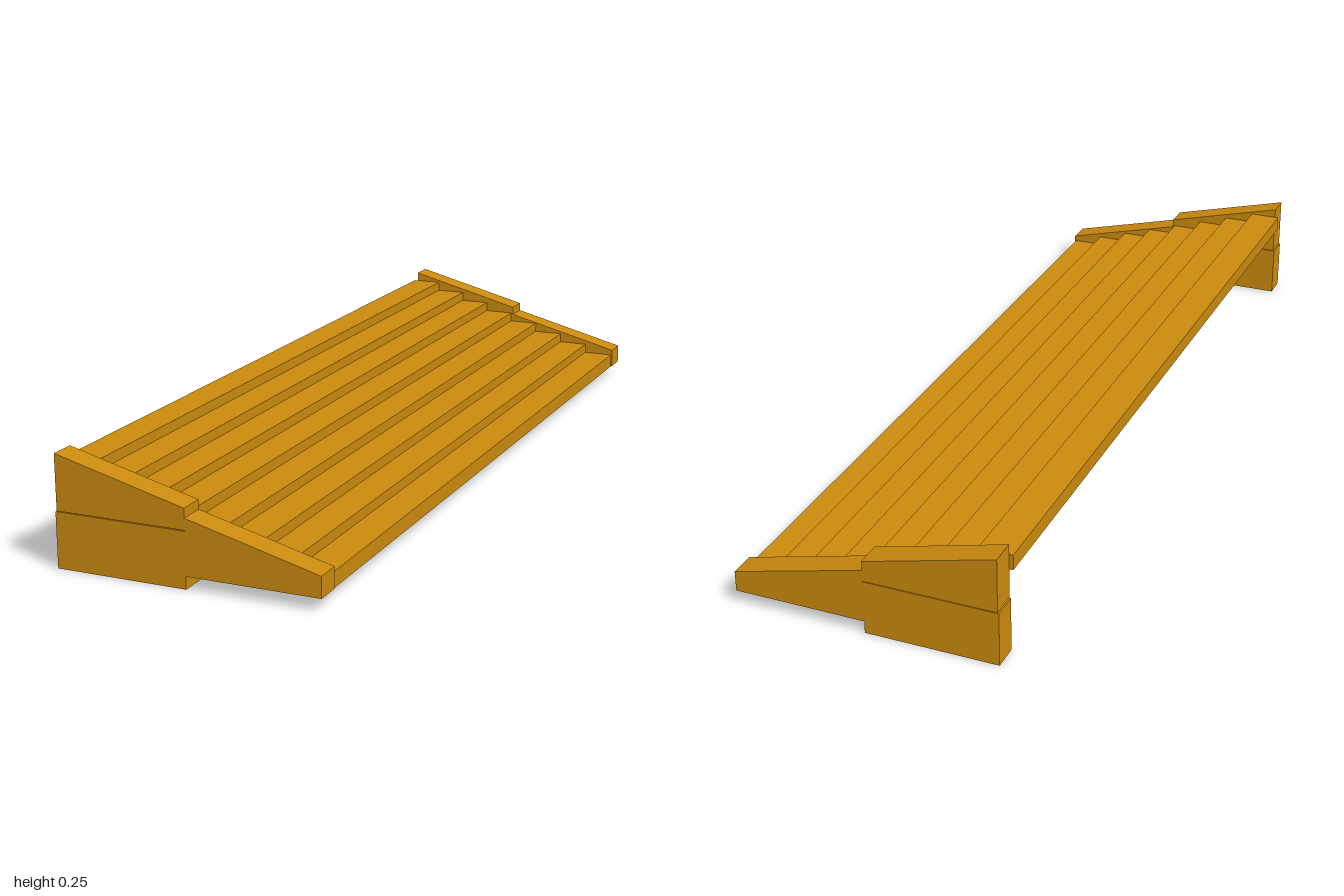
import * as THREE from 'three';

const HALF_LENGTH = 1.0;   // half of the long side
const CHEEK = 0.06;        // thickness of the end pieces

export function createModel() {
  const group = new THREE.Group();
  const wood = new THREE.MeshStandardMaterial({ color: 0xca8a0e, flatShading: true });

  // A side profile in x, y, extruded along z
  const board = (name, points, zStart, depth) => {
    const shape = new THREE.Shape(points.map(([x, y]) => new THREE.Vector2(x, y)));
    const geometry = new THREE.ExtrudeGeometry(shape, { depth, bevelEnabled: false });
    geometry.translate(0, 0, zStart);
    const mesh = new THREE.Mesh(geometry, wood);
    mesh.name = name;
    return mesh;
  };

  // End pieces: a sloped low half, a foot block and a wedge on top of it
  const profiles = {
    SlopedArm: [[0.003, 0.028], [0.304, 0.028], [0.304, 0.075], [0.003, 0.152]],
    FootBlock: [[-0.299, 0], [0.003, 0], [0.003, 0.1245], [-0.299, 0.1245]],
    UpperWedge: [[-0.296, 0.126], [0.003, 0.126], [0.003, 0.173], [-0.296, 0.25]],
  };
  for (const [side, z] of [['front', HALF_LENGTH - CHEEK], ['back', -HALF_LENGTH]]) {
    const end = new THREE.Group();
    end.name = side + 'EndPiece';
    for (const [part, points] of Object.entries(profiles)) {
      end.add(board(side + part, points, z, CHEEK));
    }
    group.add(end);
  }

  // Eight long slats descending like steps
  const slats = new THREE.Group();
  slats.name = 'slats';
  const length = 2 * (HALF_LENGTH - CHEEK);
  const slatGeometry = new THREE.BoxGeometry(0.0758, 0.035, length);
  for (let i = 0; i < 8; i++) {
    const slat = new THREE.Mesh(slatGeometry, wood);
    slat.name = 'slat' + (i + 1);
    slat.position.set(-0.267 + i * 0.0756, 0.2095 - i * 0.0237, 0);
    slats.add(slat);
  }
  group.add(slats);

  return group;
}
